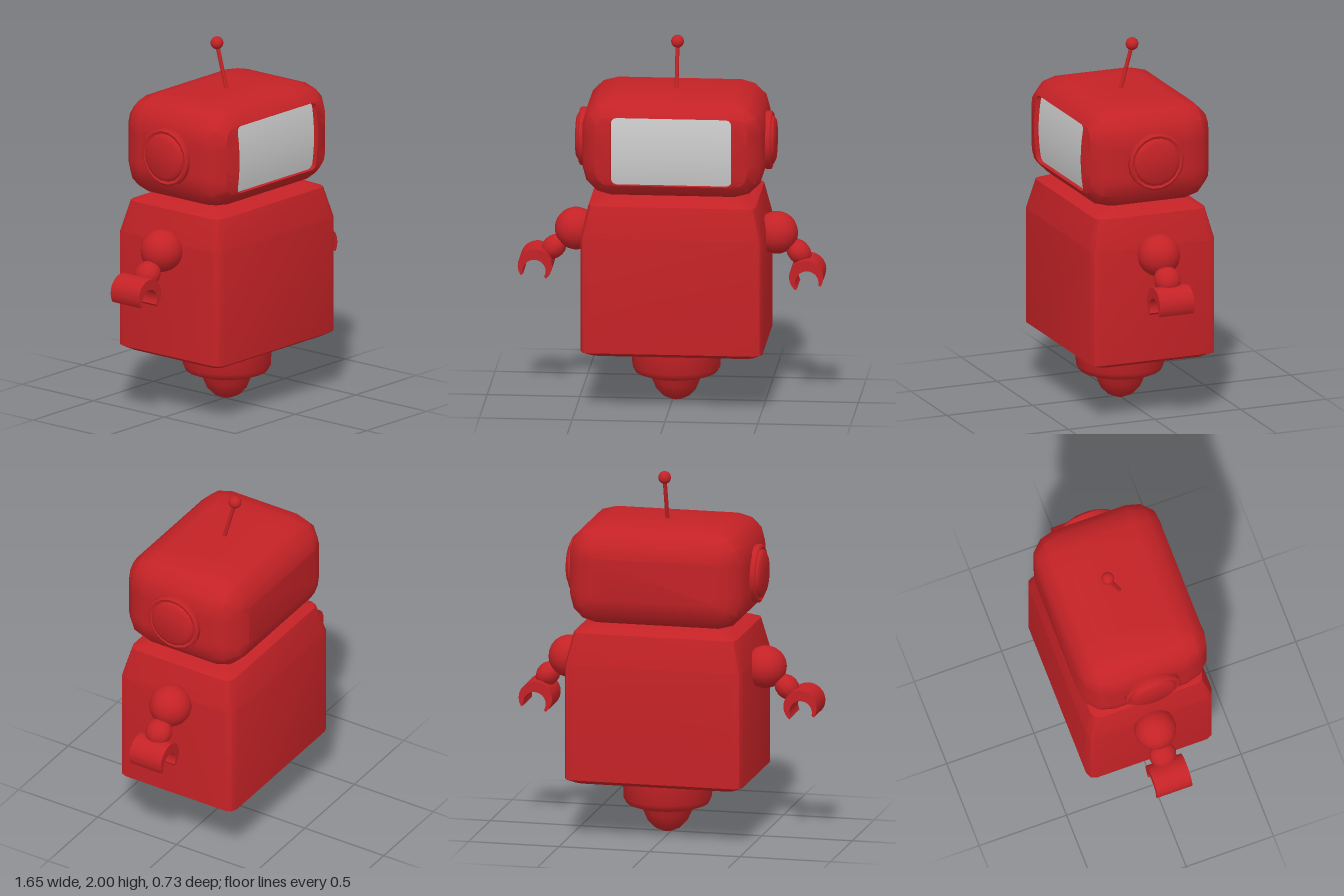
import * as THREE from 'three';
import { toCreasedNormals } from 'three/addons/utils/BufferGeometryUtils.js';

const red = new THREE.MeshStandardMaterial({ color: 0xc42226 });
const grey = new THREE.MeshStandardMaterial({ color: 0xcccccc });
const V = (x, y) => new THREE.Vector2(x, y);

function add(parent, name, geometry, x = 0, y = 0, z = 0, material = red) {
  const mesh = new THREE.Mesh(geometry, material);
  mesh.name = name;
  mesh.position.set(x, y, z);
  parent.add(mesh);
  return mesh;
}

// Rounded rectangle outline, counterclockwise, with extra points along its sides
function outline(hx, hy, r, corner, side) {
  const pts = [];
  const centres = [[1, 1], [-1, 1], [-1, -1], [1, -1]];
  centres.forEach(([sx, sy], q) => {
    for (let i = 0; i <= corner; i++) {
      const a = (q + i / corner) * Math.PI / 2;
      pts.push(V(sx * (hx - r) + r * Math.cos(a), sy * (hy - r) + r * Math.sin(a)));
    }
    const from = pts[pts.length - 1];
    const [nx, ny] = centres[(q + 1) % 4];
    const a = (q + 1) * Math.PI / 2;
    const to = V(nx * (hx - r) + r * Math.cos(a), ny * (hy - r) + r * Math.sin(a));
    for (let i = 1; i <= side; i++) pts.push(from.clone().lerp(to, i / (side + 1)));
  });
  return pts;
}

// Skin over rings { hx, hy, r, z }, where z is a number or a function of y
function loft(rings, corner, side, capEnd, crease) {
  const pos = [], idx = [];
  let n = 0;
  for (const { hx, hy, r, z } of rings) {
    const pts = outline(hx, hy, r, corner, side);
    n = pts.length;
    for (const p of pts) pos.push(p.x, p.y, typeof z === 'function' ? z(p.y) : z);
  }
  for (let k = 0; k < rings.length - 1; k++) {
    for (let j = 0; j < n; j++) {
      const a = k * n + j, b = k * n + (j + 1) % n;
      idx.push(a, b, b + n, a, b + n, a + n);
    }
  }
  const last = (rings.length - 1) * n;
  for (let j = 1; j < n - 1; j++) {
    idx.push(0, j + 1, j);
    if (capEnd) idx.push(last, last + j, last + j + 1);
  }
  const g = new THREE.BufferGeometry();
  g.setAttribute('position', new THREE.Float32BufferAttribute(pos, 3));
  g.setIndex(idx);
  return toCreasedNormals(g, crease);
}

const lathe = (pts, seg) =>
  toCreasedNormals(new THREE.LatheGeometry(pts.map(p => V(p[0], p[1])), seg), 0.75);

// Crescent gripper, open towards the given angle
function clawGeometry(direction) {
  const shape = new THREE.Shape();
  const half = 0.84, inner = 1.18, shift = 0.028;
  shape.absarc(0, 0, 0.092, half, Math.PI * 2 - half, false);
  shape.absarc(shift, 0, 0.062, Math.PI * 2 - inner, inner, true);
  const g = new THREE.ExtrudeGeometry(shape, { depth: 0.2, bevelEnabled: false, curveSegments: 20 });
  g.translate(0, 0, -0.1).rotateZ(direction);
  return toCreasedNormals(g, 0.6);
}

export function createModel() {
  const model = new THREE.Group();
  model.name = 'robot';
  const bot = new THREE.Group();
  bot.name = 'robotParts';
  bot.position.x = 0.02;
  model.add(bot);

  // Head with a recessed opening at the front
  const HX = 0.49, HY = 0.274, HZ = 0.365, R = 0.16;
  const bend = y => HZ - 0.018 * (y / 0.187) ** 2;
  const rings = [];
  const bevel = (deg, sign) => {
    const a = deg * Math.PI / 180;
    const inset = R * (1 - Math.sin(a));
    rings.push({ hx: HX - inset, hy: HY - inset, r: Math.max(R - inset, 0.005), z: sign * (HZ - R * (1 - Math.cos(a))) });
  };
  [0, 30, 60, 90].forEach(d => bevel(d, -1));
  [90, 60, 30].forEach(d => bevel(d, 1));
  rings.push({ hx: 0.325, hy: 0.187, r: 0.03, z: bend });
  rings.push({ hx: 0.325, hy: 0.187, r: 0.03, z: y => bend(y) - 0.03 });
  add(bot, 'head', loft(rings, 3, 5, false, 0.6), 0, 1.453, 0);

  // Curved screen
  const screen = new THREE.PlaneGeometry(0.66, 0.385, 1, 12);
  const sp = screen.attributes.position;
  for (let i = 0; i < sp.count; i++) sp.setZ(i, bend(sp.getY(i)) - 0.027);
  screen.computeVertexNormals();
  add(bot, 'screen', screen, 0, 1.448, 0, grey);

  // Ear discs
  for (const s of [1, -1]) {
    const ear = lathe([[0, 0.055], [0.108, 0.055], [0.128, 0.044], [0.132, 0.032], [0.147, 0.038],
      [0.158, 0.03], [0.158, 0.005], [0.145, -0.02], [0, -0.02]].reverse(), 18);
    add(bot, s > 0 ? 'leftEar' : 'rightEar', ear, s * 0.483, 1.448, 0).rotation.z = -s * Math.PI / 2;
  }

  // Antenna leaning back
  const rod = add(bot, 'antennaRod', new THREE.CylinderGeometry(0.011, 0.011, 0.27, 10), 0, 1.835, -0.035);
  rod.rotation.x = -0.275;
  add(bot, 'antennaTip', new THREE.SphereGeometry(0.035, 14, 10), 0, 1.965, -0.07);

  // Body with chamfered edges and shoulders
  const body = loft([[0.31, 0.045], [0.335, 0], [0.97, 0], [1.14, 0.04], [1.18, 0.13]].map(([z, inset]) =>
    ({ hx: 0.49 - inset, hy: 0.36 - inset, r: 0.045, z })), 2, 0, true, 0.42);
  body.rotateX(-Math.PI / 2);
  add(bot, 'body', body);

  // Neck filling the gap between body and head
  add(bot, 'neck', new THREE.BoxGeometry(0.68, 0.04, 0.4), 0, 1.18, 0);

  // Hip drum and rounded foot
  add(bot, 'hip', lathe([[0, 0.148], [0.19, 0.148], [0.222, 0.16], [0.238, 0.19], [0.241, 0.32]], 20));
  add(bot, 'foot', lathe([[0, 0], [0.025, 0.003], [0.07, 0.022], [0.108, 0.06], [0.125, 0.1], [0.145, 0.15]], 14));

  // Arms: shoulder ball, elbow ball and gripper
  for (const s of [1, -1]) {
    const arm = new THREE.Group();
    arm.name = s > 0 ? 'leftArm' : 'rightArm';
    bot.add(arm);
    add(arm, 'shoulder', new THREE.SphereGeometry(0.115, 18, 12), s * 0.541, 0.935, 0);
    const elbow = add(arm, 'elbow', new THREE.SphereGeometry(0.07, 12, 8), s * 0.66, 0.83, 0);
    elbow.scale.set(0.88, 1.08, 1.08);
    elbow.rotation.z = s * 0.75;
    const [x, y, angle] = s > 0 ? [0.707, 0.713, -1.4] : [-0.755, 0.745, -1.7];
    add(arm, 'gripper', clawGeometry(angle), x, y, 0);
  }
  return model;
}
